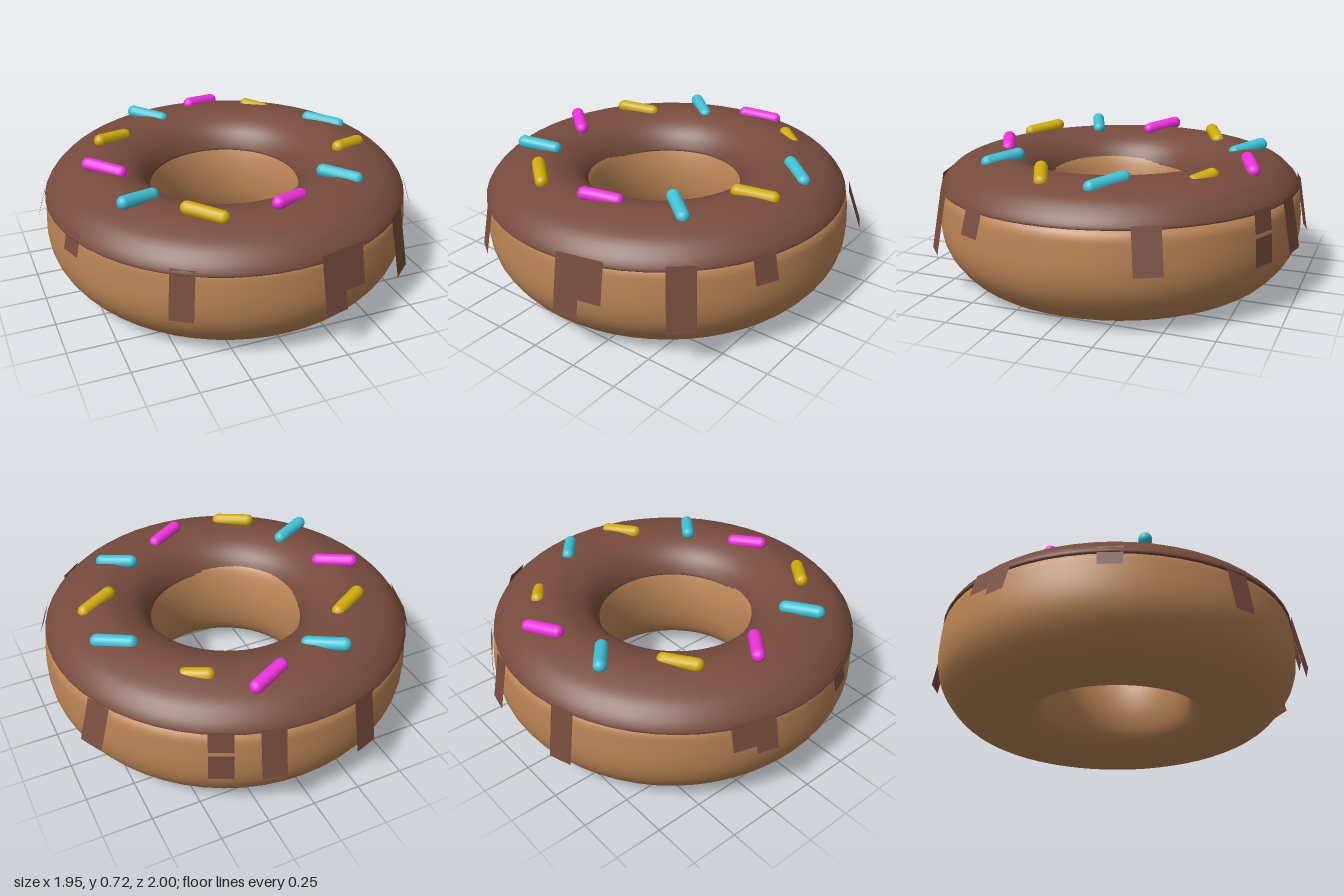
import * as THREE from 'three';

const mat = (color, side = THREE.FrontSide) =>
  new THREE.MeshStandardMaterial({ color, side, roughness: 0.8 });

// Ring turned from a smooth [radius, height] profile
function ring(name, points, steps, material) {
  const curve = new THREE.SplineCurve(points.map(p => new THREE.Vector2(...p)));
  const mesh = new THREE.Mesh(new THREE.LatheGeometry(curve.getPoints(steps), 56), material);
  mesh.name = name;
  return mesh;
}

export function createModel() {
  const model = new THREE.Group();
  model.name = 'donut';
  const body = new THREE.Group();
  body.name = 'body';
  body.position.set(0.02, 0, -0.02);
  model.add(body);

  // Dough: closed profile with its seam hidden under the icing
  body.add(ring('dough', [
    [0.66, 0.62], [0.52, 0.6], [0.44, 0.55], [0.4, 0.49], [0.37, 0.36], [0.375, 0.22],
    [0.42, 0.1], [0.52, 0.025], [0.67, 0], [0.81, 0.045], [0.915, 0.16], [0.957, 0.28],
    [0.955, 0.43], [0.932, 0.515], [0.82, 0.59], [0.66, 0.62],
  ], 64, mat(0xba8455)));

  // Icing: thin shell over the top, tipped very slightly
  const icingMat = mat(0x774b3e, THREE.DoubleSide);
  const icing = ring('icing', [
    [0.93, 0.505], [0.95, 0.515], [0.915, 0.57], [0.835, 0.63], [0.66, 0.676],
    [0.53, 0.648], [0.445, 0.59], [0.4, 0.51], [0.41, 0.495],
  ], 36, icingMat);
  icing.rotation.set(0.012, 0, 0.014);
  body.add(icing);

  // Drips: flat strips flaring away from the side
  // [x, z direction, width, sideways shift, top y, bottom y, top radius, bottom radius]
  const drips = [
    [-0.55, 0.85, 0.12, 0, 0.52, 0.27, 0.95, 0.995],
    [0.23, 0.99, 0.125, -0.06, 0.54, 0.24, 0.95, 1.01],
    [0.23, 0.99, 0.12, 0.06, 0.54, 0.33, 0.95, 0.99],
    [0.66, 0.755, 0.14, 0, 0.54, 0.22, 0.95, 1.01],
    [0.9, 0.425, 0.12, 0, 0.54, 0.41, 0.95, 0.99],
    [0.9, -0.46, 0.135, 0, 0.55, 0.34, 0.955, 1.03],
    [0.43, -0.87, 0.12, 0, 0.55, 0.44, 0.95, 0.965],
    [0.43, -0.87, 0.12, 0, 0.42, 0.28, 0.967, 0.975],
    [0.205, -0.97, 0.12, 0, 0.55, 0.29, 0.95, 1.0],
    [-0.305, -0.95, 0.125, 0, 0.54, 0.25, 0.95, 1.0],
    [-0.95, -0.29, 0.12, -0.06, 0.53, 0.4, 0.95, 0.99],
    [-0.95, -0.29, 0.11, 0.055, 0.53, 0.36, 0.95, 1.0],
    [-0.91, 0.31, 0.12, 0, 0.53, 0.42, 0.945, 0.97],
  ];
  for (const [x, z, width, shift, top, bottom, r0, r1] of drips) {
    const length = Math.hypot(top - bottom, r1 - r0);
    const strip = new THREE.PlaneGeometry(width, length).translate(shift, -length / 2, 0);
    strip.rotateX(-Math.atan2(r1 - r0, top - bottom)).translate(0, top, r0);
    const drip = new THREE.Mesh(strip, icingMat);
    drip.name = 'drip';
    drip.rotation.y = Math.atan2(x, z);
    body.add(drip);
  }

  // Sprinkles: capsules lying on the crest, from their left to right ends
  const cyan = mat(0x3fc0d4), pink = mat(0xee32dc), gold = mat(0xcfab0c);
  const sprinkles = [
    [cyan, -0.31, -0.73, -0.12, -0.58], [pink, 0.03, -0.7, 0.25, -0.79],
    [gold, 0.36, -0.635, 0.5, -0.53, -0.012], [cyan, 0.6, -0.28, 0.79, -0.13],
    [gold, 0.56, 0.19, 0.775, 0.09], [cyan, 0.355, 0.385, 0.54, 0.53],
    [pink, 0, 0.655, 0.205, 0.555], [gold, -0.41, 0.51, -0.225, 0.665],
    [cyan, -0.675, 0.39, -0.455, 0.295], [pink, -0.725, -0.12, -0.535, 0.035],
    [gold, -0.6, -0.35, -0.385, -0.455],
  ];
  const radius = 0.034, up = new THREE.Vector3(0, 1, 0);
  for (const [material, x0, z0, x1, z1, sink = 0] of sprinkles) {
    const a = new THREE.Vector3(x0, 0.691 + sink, z0), b = new THREE.Vector3(x1, 0.662 + sink, z1);
    const span = b.clone().sub(a);
    const sprinkle = new THREE.Mesh(
      new THREE.CapsuleGeometry(radius, span.length() - 2 * radius, 6, 14), material);
    sprinkle.name = 'sprinkle';
    sprinkle.position.copy(a).add(b).multiplyScalar(0.5);
    sprinkle.quaternion.setFromUnitVectors(up, span.normalize());
    model.add(sprinkle);
  }
  return model;
}
